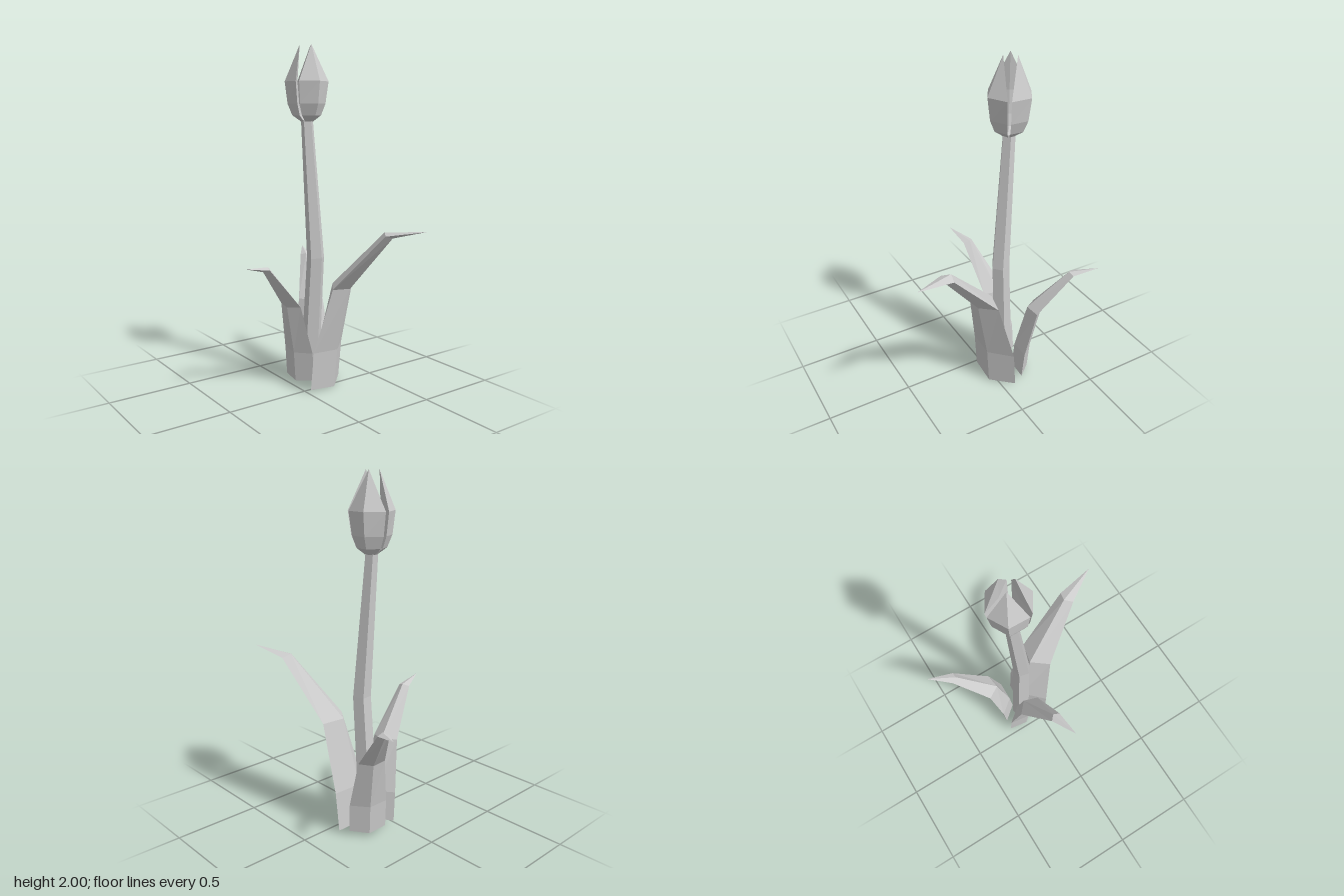
import * as THREE from 'three';

const grey = new THREE.MeshStandardMaterial({ color: 0xcccccc });
grey.name = 'plain grey';
grey.flatShading = true;

// Skins rings of points (counterclockwise from above); a ring of one point is a tip
function loft(name, rings) {
  const pos = [];
  const tri = (...points) => points.forEach((p) => pos.push(...p));
  const cap = (r, up) => {
    for (let j = 1; j < r.length - 1; j++) up ? tri(r[0], r[j], r[j + 1]) : tri(r[0], r[j + 1], r[j]);
  };
  for (let i = 0; i < rings.length - 1; i++) {
    const lo = rings[i], hi = rings[i + 1], n = lo.length;
    for (let j = 0; j < n; j++) {
      const k = (j + 1) % n;
      if (hi.length === 1) tri(lo[j], lo[k], hi[0]);
      else {
        tri(lo[j], lo[k], hi[k]);
        tri(lo[j], hi[k], hi[j]);
      }
    }
  }
  cap(rings[0], false);
  cap(rings[rings.length - 1], true);
  const geo = new THREE.BufferGeometry();
  geo.setAttribute('position', new THREE.Float32BufferAttribute(pos, 3));
  geo.computeVertexNormals();
  const mesh = new THREE.Mesh(geo, grey);
  mesh.name = name;
  return mesh;
}

// Leaf sections: reach, height, half width, inner bulge, outer bulge, tilt
const leafSections = [
  [0, 0.012, 0.152, 0.07, 0.065, 0.012],
  [0.02, 0.24, 0.152, 0.07, 0.065, 0.005],
  [0.12, 0.625, 0.107, 0.07, 0.05, 0.008],
  [0.42, 0.955, 0.047, 0.03, 0.02, 0.015],
];

// Leaf with a diamond cross-section, running from its base to its tip
function leaf(name, base, tip, scale) {
  const dx = tip[0] - base[0], dz = tip[2] - base[2];
  const length = Math.hypot(dx, dz), ux = dx / length, uz = dz / length;
  const rise = (tip[1] - base[1]) / 0.995;
  const rings = leafSections.map(([reach, height, half, inner, outer, tilt]) => {
    const at = (u, side, dy) => [
      base[0] + ux * u + uz * side,
      base[1] + (height + dy) * rise,
      base[2] + uz * u - ux * side,
    ];
    const u = reach * length / 0.64;
    return [
      at(u + outer * scale, 0, -tilt),
      at(u, half * scale, 0),
      at(u - inner * scale, 0, tilt),
      at(u, -half * scale, 0),
    ];
  });
  return loft(name, [...rings, [tip]]);
}

// Petal sections: height, ridge radius, edge radius, inner radius
const petalSections = [
  [1.57, 0.035, 0.035, 0.005],
  [1.605, 0.085, 0.08, 0.03],
  [1.67, 0.112, 0.105, 0.045],
  [1.795, 0.128, 0.122, 0.055],
];
const bloom = [-0.117, -0.1];

function petal(angle) {
  const at = (r, a, y) => [bloom[0] + r * Math.cos(a), y, bloom[1] - r * Math.sin(a)];
  const spread = 0.96;
  const rings = petalSections.map(([y, ridge, edge, inner]) => [
    at(ridge, angle, y),
    at(edge, angle + spread, y),
    at(inner, angle, y),
    at(edge, angle - spread, y),
  ]);
  return loft('petal', [...rings, [at(0.042, angle, 2)]]);
}

export function createModel() {
  const model = new THREE.Group();
  model.name = 'flower';

  // Bent five-sided stem: x, y, z, radius
  const stem = [
    [-0.1, 0.03, -0.11, 0.06],
    [-0.063, 0.78, -0.125, 0.053],
    [-0.117, 1.58, -0.1, 0.036],
  ].map(([x, y, z, r]) => Array.from({ length: 5 }, (_, i) => {
    const a = 0.1 + (i * Math.PI * 2) / 5;
    return [x + r * Math.cos(a), y, z - r * Math.sin(a)];
  }));
  model.add(loft('stem', stem));

  // Three petals around the bloom
  const petals = new THREE.Group();
  petals.name = 'bloom';
  for (let i = 0; i < 3; i++) petals.add(petal(-0.03 + (i * Math.PI * 2) / 3));
  model.add(petals);

  // Three leaves around the stem
  model.add(
    leaf('tallLeaf', [-0.02, 0, -0.165], [0.575, 0.995, -0.385], 1),
    leaf('frontLeaf', [-0.13, 0.025, -0.06], [-0.007, 0.785, 0.385], 0.7),
    leaf('shortLeaf', [-0.18, 0.02, -0.19], [-0.575, 0.74, -0.385], 0.7),
  );
  return model;
}
